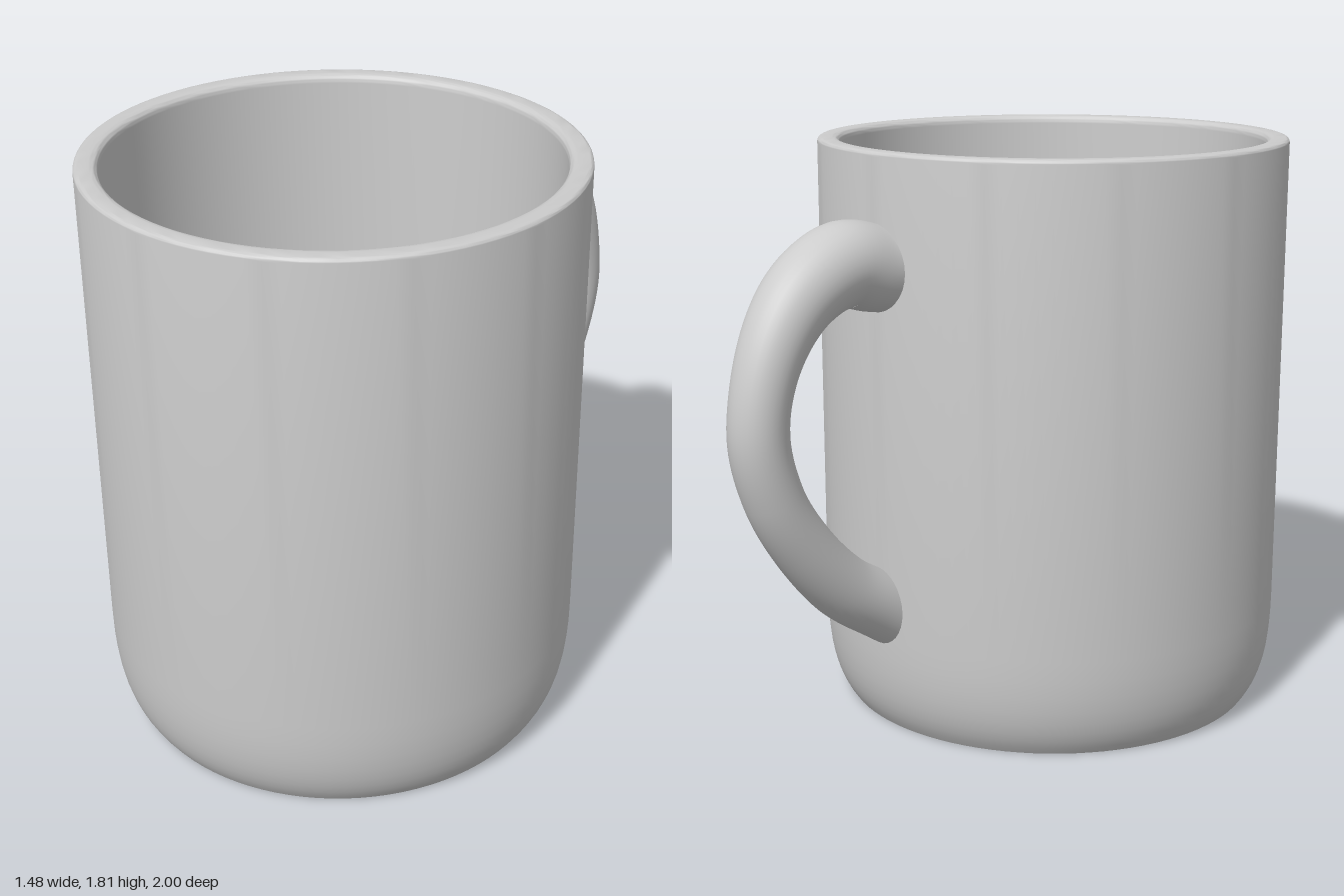
import * as THREE from 'three';
import { toCreasedNormals } from 'three/addons/utils/BufferGeometryUtils.js';

const material = new THREE.MeshStandardMaterial({ color: 0xcccccc });
const CUP_Z = 0.26; // the cup sits forward of centre to make room for the handle

// Cup: one closed profile, from under the base, up the outside, over the rim, down to the floor
function createCup() {
  const profile = new THREE.Path();
  profile.moveTo(0, 0.03);
  profile.lineTo(0.575, 0.03);
  profile.lineTo(0.59, 0);
  profile.lineTo(0.67, 0);
  profile.bezierCurveTo(0.715, 0.06, 0.74, 0.14, 0.74, 0.32);
  profile.lineTo(0.74, 1.795);
  profile.quadraticCurveTo(0.74, 1.81, 0.725, 1.81);
  profile.lineTo(0.695, 1.81);
  profile.quadraticCurveTo(0.67, 1.81, 0.67, 1.785);
  profile.lineTo(0.67, 0.22);
  profile.bezierCurveTo(0.67, 0.15, 0.65, 0.1, 0.59, 0.1);
  profile.lineTo(0, 0.1);
  const lathe = new THREE.LatheGeometry(profile.getPoints(8), 96);
  const cup = new THREE.Mesh(toCreasedNormals(lathe, 0.6), material);
  cup.name = 'cup';
  cup.position.z = CUP_Z;
  return cup;
}

// Handle: a round tube, thickest at the upper root and slimmer around the grip
function createHandle() {
  const path = new THREE.CatmullRomCurve3([
    [1.455, -0.36], [1.47, -0.48], [1.493, -0.6], [1.42, -0.75], [1.265, -0.86],
    [1.04, -0.91], [0.845, -0.865], [0.675, -0.765], [0.52, -0.625], [0.423, -0.48], [0.345, -0.36],
  ].map(([y, z]) => new THREE.Vector3(0, y, z)));
  const rings = 80, sides = 32;
  const geometry = new THREE.TubeGeometry(path, rings, 1, sides);
  const position = geometry.attributes.position;
  const normal = geometry.attributes.normal;
  const p = new THREE.Vector3(), n = new THREE.Vector3();
  for (let i = 0; i <= rings; i++) {
    const t = i / rings;
    const radius = 0.09 + 0.04 * (1 - THREE.MathUtils.smoothstep(t, 0.08, 0.45))
      + 0.014 * THREE.MathUtils.smoothstep(t, 0.6, 0.95);
    path.getPointAt(t, p);
    for (let j = 0; j <= sides; j++) {
      const k = i * (sides + 1) + j;
      n.fromBufferAttribute(normal, k).multiplyScalar(radius).add(p);
      // keep the roots inside the thickness of the cup wall
      position.setXYZ(k, n.x, n.y, Math.min(n.z, -0.44));
    }
  }
  const handle = new THREE.Mesh(geometry, material);
  handle.name = 'handle';
  return handle;
}

export function createModel() {
  const mug = new THREE.Group();
  mug.name = 'mug';
  mug.add(createCup(), createHandle());
  return mug;
}
